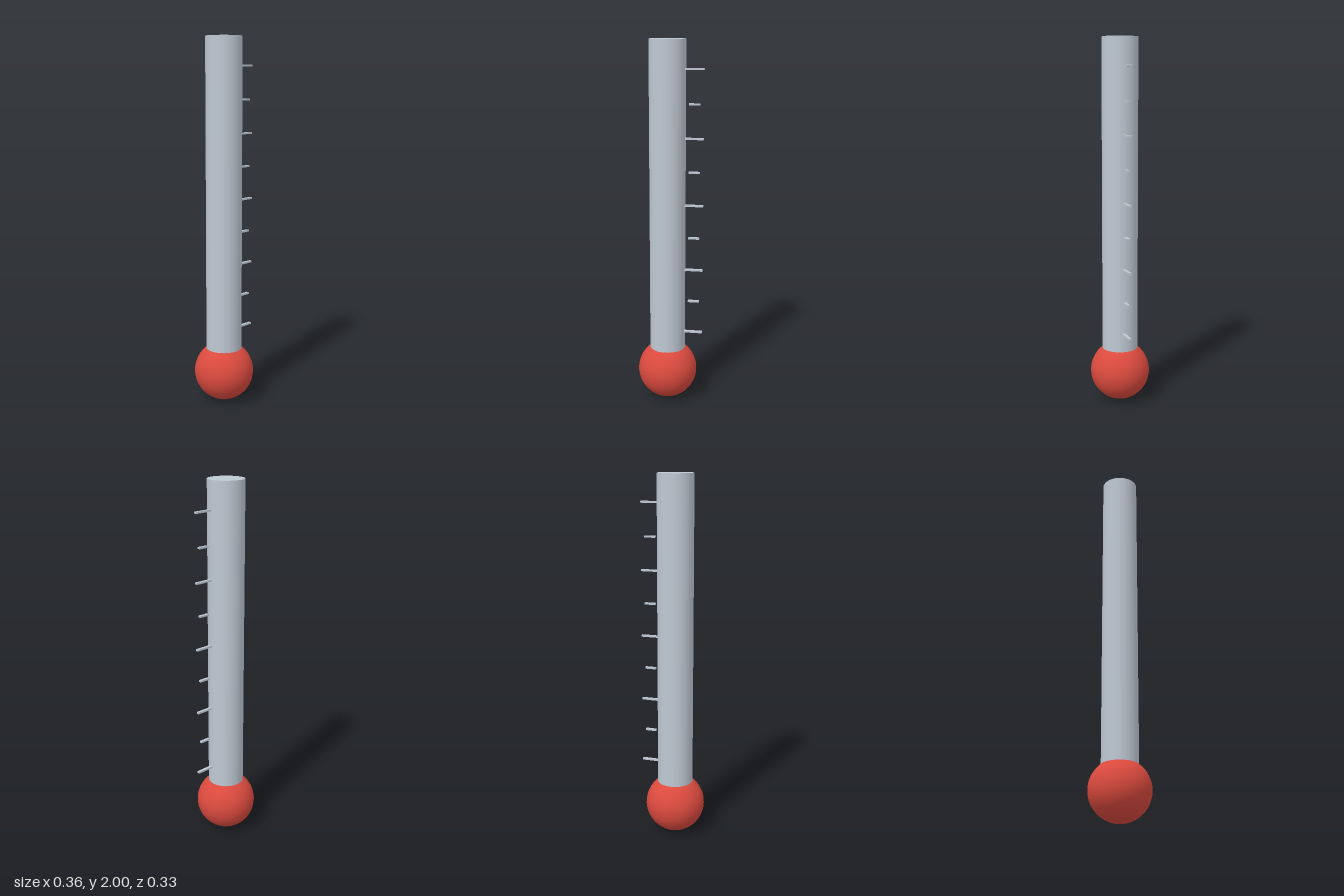
import * as THREE from 'three';

export function createModel() {
  const model = new THREE.Group();
  model.name = 'thermometer';
  const paleGrey = new THREE.MeshStandardMaterial({ name: 'paleGrey', color: 0xbfc8d3 });
  const red = new THREE.MeshStandardMaterial({ name: 'red', color: 0xdb4a3e });

  const AXIS_X = -0.017;

  function add(name, geometry, material, x, y, z) {
    const mesh = new THREE.Mesh(geometry, material);
    mesh.name = name;
    mesh.position.set(x, y, z);
    model.add(mesh);
  }

  // Round bulb at the foot
  add('bulb', new THREE.SphereGeometry(0.164, 32, 32), red, AXIS_X, 0.164, 0);

  // Tall tube, its lower end sunk into the bulb
  const tubeBottom = 0.26;
  add('tube', new THREE.CylinderGeometry(0.098, 0.098, 2 - tubeBottom, 32), paleGrey,
    AXIS_X, (2 + tubeBottom) / 2, 0);

  // Scale marks beside the tube, alternately long and short
  for (let i = 0; i < 9; i++) {
    const long = i % 2 === 0;
    add(long ? 'longMark' : 'shortMark', new THREE.BoxGeometry(long ? 0.1 : 0.06, 0.01, 0.016),
      paleGrey, 0.13, 0.398 + i * 0.1812, 0.015);
  }

  return model;
}
